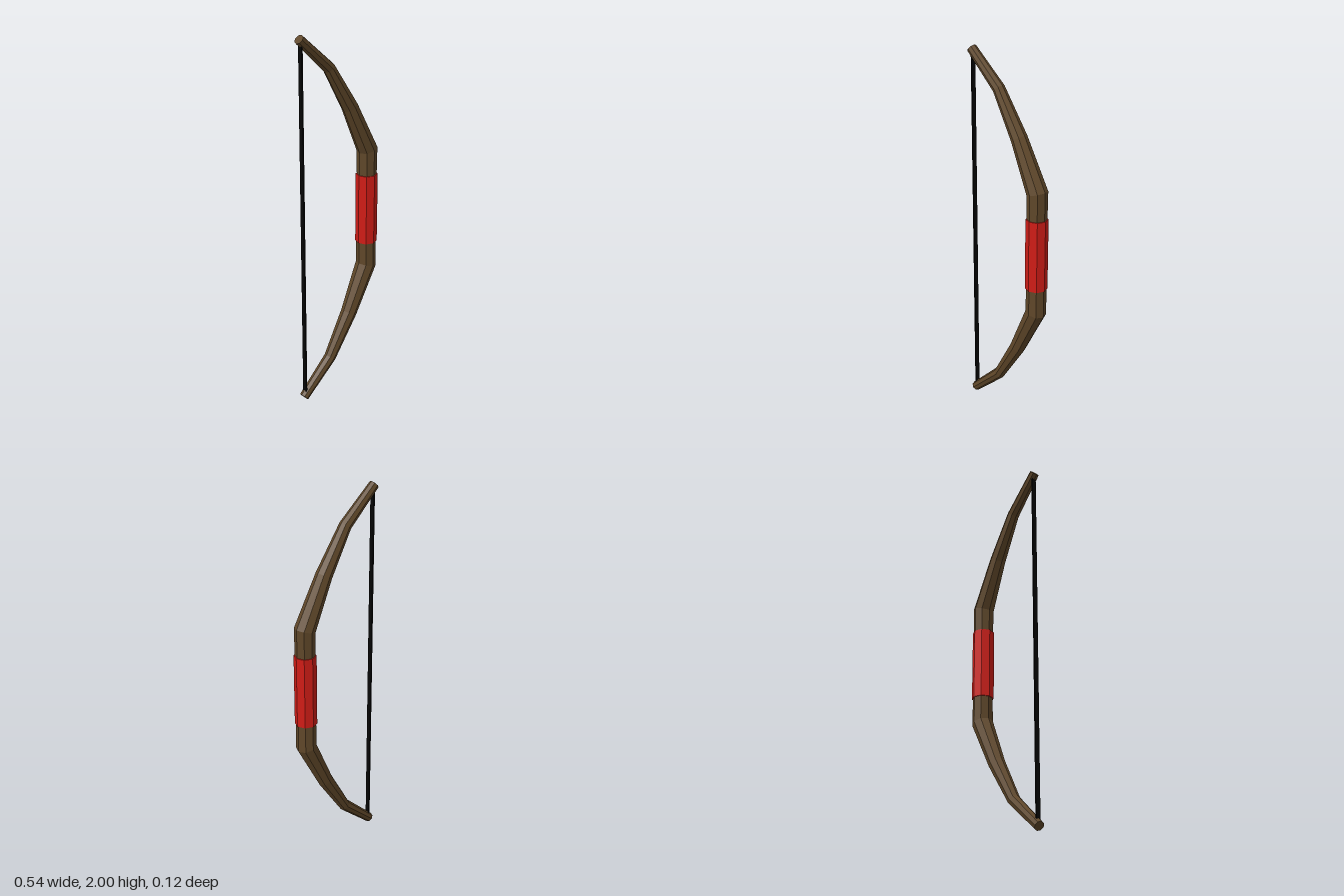
import * as THREE from 'three';

const SIDES = 8;

// Octagonal tube lofted along stations [x, y, radius, tilt of the ring in radians], capped at both ends
function loftLimb(stations) {
  const pos = [], idx = [];
  for (const [x, y, r, tilt] of stations) {
    for (let i = 0; i < SIDES; i++) {
      const a = (i / SIDES) * Math.PI * 2;
      const u = Math.cos(a) * r;
      pos.push(x + u * Math.cos(tilt), y + u * Math.sin(tilt), -Math.sin(a) * r);
    }
  }
  const last = stations.length - 1;
  for (let s = 0; s < last; s++) {
    for (let i = 0; i < SIDES; i++) {
      const j = (i + 1) % SIDES;
      const a = s * SIDES + i, b = s * SIDES + j;
      idx.push(a, b, b + SIDES, a, b + SIDES, a + SIDES);
    }
  }
  for (let i = 1; i < SIDES - 1; i++) {
    idx.push(0, i + 1, i);
    idx.push(last * SIDES, last * SIDES + i, last * SIDES + i + 1);
  }
  const geo = new THREE.BufferGeometry();
  geo.setAttribute('position', new THREE.Float32BufferAttribute(pos, 3));
  geo.setIndex(idx);
  geo.computeVertexNormals();
  return geo;
}

export function createModel() {
  const group = new THREE.Group();
  const material = (color) => new THREE.MeshStandardMaterial({ color, flatShading: true });
  const add = (name, geo, mat, x, y) => {
    const mesh = new THREE.Mesh(geo, mat);
    mesh.name = name;
    mesh.position.set(x, y, 0);
    group.add(mesh);
  };

  // Upper half of the stave, from just above the grip centre to the tip
  const upper = [
    [0.208, 1.33, 0.055, 0.27],
    [0.08, 1.585, 0.043, 0.52],
    [-0.062, 1.81, 0.032, 0.7],
    [-0.254, 1.98, 0.026, 0.84],
  ];
  // Lower half mirrors the upper about y = 1
  const lower = upper.map(([x, y, r, t]) => [x, 2 - y, r, -t]).reverse();
  const middle = [[0.208, 1, 0.05, 0]];
  add('stave', loftLimb([...lower, ...middle, ...upper]), material(0x5f4729), 0, 0);

  // Wrapped grip around the straight middle
  const grip = new THREE.CylinderGeometry(0.058, 0.058, 0.385, SIDES);
  add('grip', grip, material(0xd01c16), 0.208, 1);

  // Flat string between the tips
  add('string', new THREE.BoxGeometry(0.008, 1.93, 0.024), material(0x050505), -0.245, 1);

  return group;
}
